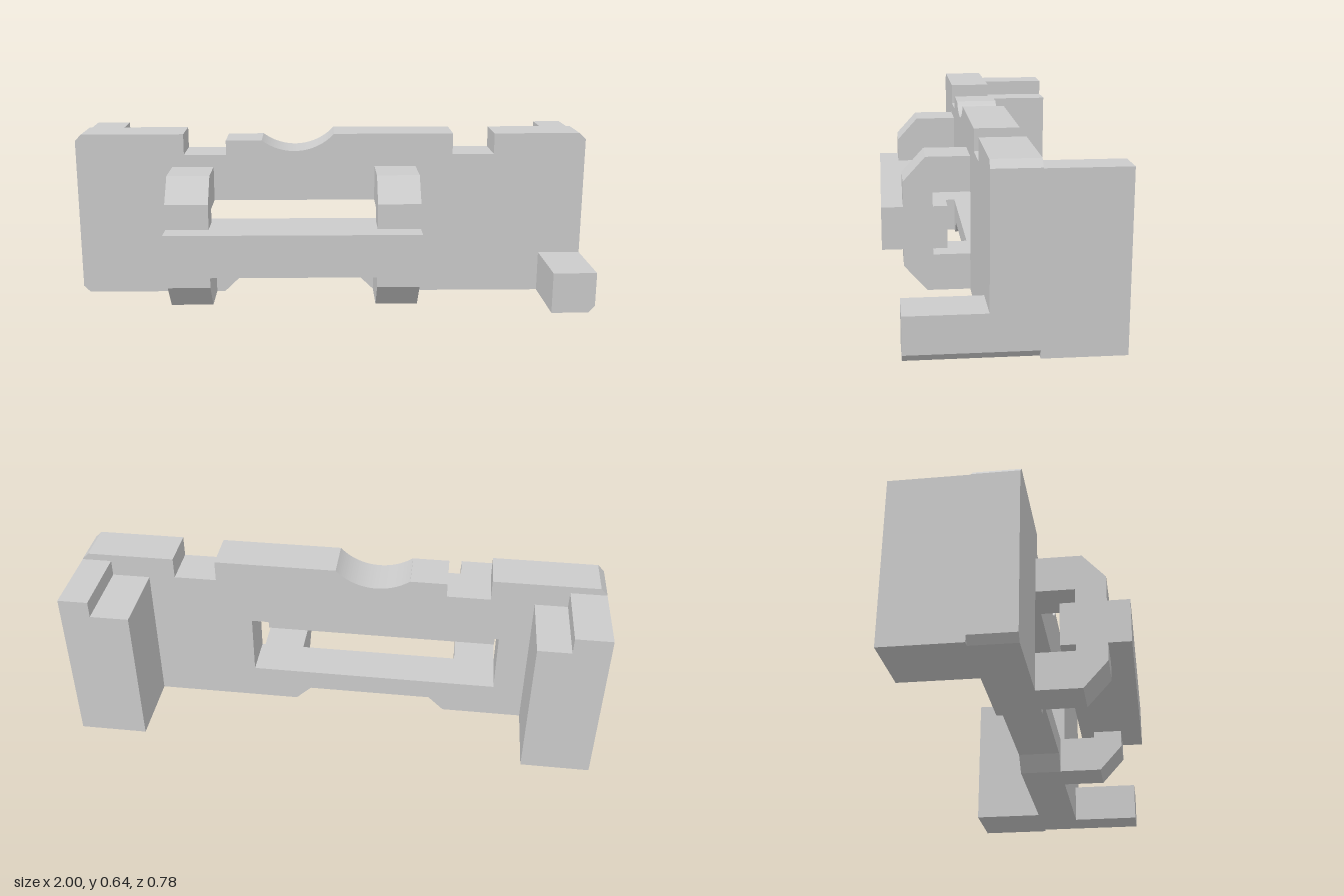
import * as THREE from 'three';

const material = new THREE.MeshStandardMaterial({ color: 0xcccccc, flatShading: true });

function add(parent, name, geometry) {
  const mesh = new THREE.Mesh(geometry, material);
  mesh.name = name;
  parent.add(mesh);
  return mesh;
}

// Box given by its limits on each axis
function box(parent, name, [x0, x1], [y0, y1], [z0, z1]) {
  const mesh = add(parent, name, new THREE.BoxGeometry(x1 - x0, y1 - y0, z1 - z0));
  mesh.position.set((x0 + x1) / 2, (y0 + y1) / 2, (z0 + z1) / 2);
}

const points = (list) => list.map(([x, y]) => new THREE.Vector2(x, y));

// Front outline extruded from z0 to z1
function extrudeZ(parent, name, shape, z0, z1) {
  const g = new THREE.ExtrudeGeometry(shape, { depth: z1 - z0, bevelEnabled: false, curveSegments: 20 });
  add(parent, name, g.translate(0, 0, z0));
}

// Side outline (z, y) extruded from x0 to x1
function extrudeX(parent, name, outline, x0, x1) {
  const shape = new THREE.Shape(points(outline));
  const g = new THREE.ExtrudeGeometry(shape, { depth: x1 - x0, bevelEnabled: false });
  // shape x becomes z, extrusion runs to -x
  add(parent, name, g.rotateY(-Math.PI / 2).translate(x1, 0, 0));
}

export function createModel() {
  const group = new THREE.Group();
  group.name = 'clipFrame';
  const back = -0.105, front = 0.058;

  // Main plate: chamfered corners, top notches, scooped dip and window
  const plate = new THREE.Shape();
  const cx = -0.145, cy = 0.788, r = 0.211;
  plate.moveTo(-1, 0.025);
  plate.lineTo(-1, 0.62);
  for (const [x, y] of [[-0.975, 0.645], [-0.578, 0.645], [-0.578, 0.563], [-0.413, 0.563],
    [-0.413, 0.619], [-0.273, 0.619]]) plate.lineTo(x, y);
  plate.absarc(cx, cy, r, Math.atan2(0.619 - cy, -0.273 - cx), Math.atan2(0.645 - cy, 0.01 - cx), false);
  for (const [x, y] of [[0.477, 0.645], [0.477, 0.563], [0.64, 0.563], [0.64, 0.645], [0.975, 0.645],
    [1, 0.62], [1, 0.028], [0.975, 0], [0.175, 0], [0.115, 0.058], [-0.37, 0.058], [-0.43, 0],
    [-0.975, 0]]) plate.lineTo(x, y);
  plate.closePath();
  plate.holes.push(new THREE.Path(points([[-0.625, 0.14], [0.345, 0.14], [0.345, 0.38], [-0.625, 0.38]])));
  extrudeZ(group, 'plate', plate, back, front);

  // Rear end blocks, stepped down on their inner half
  for (const [side, name, step] of [[-1, 'rightRearBlock', 0.865], [1, 'leftRearBlock', 0.887]]) {
    const outline = [[1, 0], [1, 0.618], [step, 0.618], [step, 0.555], [0.742, 0.555], [0.742, 0]];
    const shape = new THREE.Shape(points(outline.map(([x, y]) => [x * side, y])));
    extrudeZ(group, name, shape, -0.388, back);
  }

  // Foot at the lower left corner, chamfered along its outer edge
  const foot = new THREE.Shape(points([[0.835, 0], [0.975, 0], [1, 0.028], [1, 0.158], [0.835, 0.158]]));
  extrudeZ(group, 'foot', foot, front, 0.333);

  // Pair of C-shaped brackets
  const bracket = [[front, 0], [0.22, 0], [0.307, 0.098], [0.307, 0.423], [0.223, 0.515], [front, 0.515],
    [front, 0.38], [0.197, 0.38], [0.197, 0.14], [front, 0.14]];
  extrudeX(group, 'rightBracket', bracket, -0.625, -0.463);
  extrudeX(group, 'leftBracket', bracket, 0.17, 0.332);

  // Bar carried by the brackets
  box(group, 'crossBar', [-0.625, 0.332], [0.164, 0.327], [0.143, 0.388]);

  return group;
}
